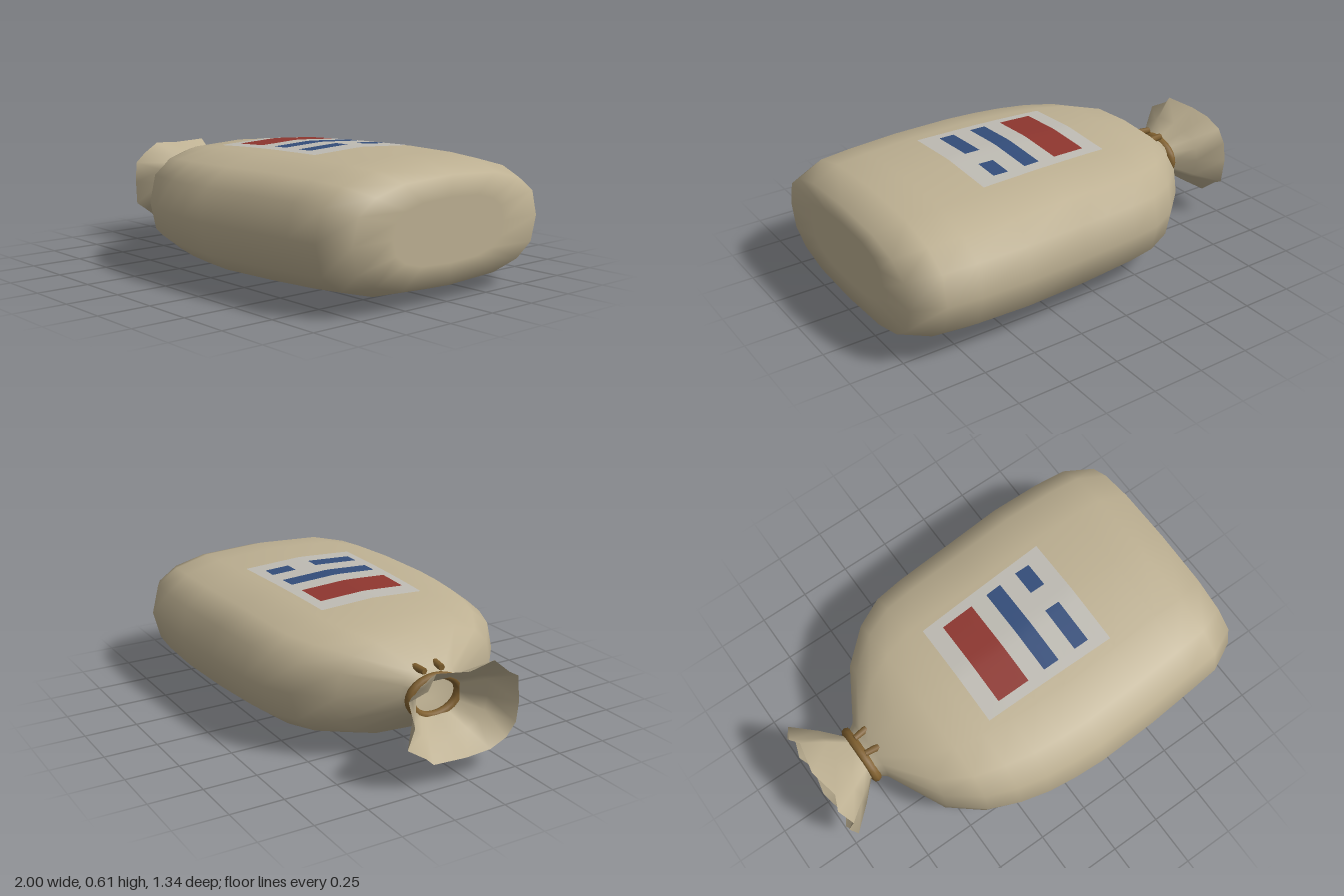
import * as THREE from 'three';

const SIDES = 16;
const mat = (name, color, side = THREE.FrontSide) => {
  const m = new THREE.MeshStandardMaterial({ color, side });
  m.name = name;
  return m;
};

// rounded-box-like power curve
const soft = (v) => Math.sign(v) * Math.pow(Math.abs(v), 0.73);

// one ring of the bag: x, bottom, top, back, front; ruffle alternates the points
function ring([x, y0, y1, z0, z1, ruffle = 0]) {
  const pts = [];
  for (let j = 0; j < SIDES; j++) {
    const a = (j / SIDES) * Math.PI * 2;
    const odd = j % 2;
    const s = 1 + ruffle * (odd ? 0.06 : -0.05);
    pts.push(new THREE.Vector3(
      x + odd * ruffle * 0.03,
      (y0 + y1) / 2 + soft(Math.sin(a)) * s * (y1 - y0) / 2,
      (z0 + z1) / 2 + soft(Math.cos(a)) * s * (z1 - z0) / 2));
  }
  return pts;
}

// smooth skin over rings ordered by rising x
function loft(rings) {
  const index = [];
  for (let i = 0; i < rings.length - 1; i++) {
    for (let j = 0; j < SIDES; j++) {
      const k = (j + 1) % SIDES;
      const a = i * SIDES + j, b = a + SIDES, c = (i + 1) * SIDES + k, d = i * SIDES + k;
      index.push(a, b, c, a, c, d);
    }
  }
  const g = new THREE.BufferGeometry().setFromPoints(rings.flat());
  g.setIndex(index);
  g.computeVertexNormals();
  return g;
}

const SECTIONS = [
  [-0.76, 0.22, 0.39, -0.13, 0.10],
  [-0.71, 0.20, 0.415, -0.16, 0.14],
  [-0.57, 0.08, 0.53, -0.40, 0.42],
  [-0.42, 0.04, 0.565, -0.54, 0.545],
  [-0.28, 0.028, 0.58, -0.61, 0.605],
  [-0.14, 0.016, 0.588, -0.63, 0.64],
  [0.0, 0.008, 0.594, -0.64, 0.657],
  [0.15, 0.0, 0.599, -0.65, 0.665],
  [0.45, 0.005, 0.603, -0.67, 0.655],
  [0.70, 0.013, 0.597, -0.665, 0.635],
  [0.86, 0.025, 0.585, -0.65, 0.62],
  [1.0, 0.07, 0.54, -0.58, 0.55],
];
const RINGS = SECTIONS.map(ring);

// height of the bag's upper skin
function topY(x, z) {
  const at = (pts) => {
    for (let j = 0; j < SIDES / 2; j++) {
      const p = pts[j], q = pts[j + 1];
      if (z <= p.z && z >= q.z) return p.y + (q.y - p.y) * (p.z - z) / (p.z - q.z);
    }
    return 0.3;
  };
  let i = 0;
  while (i < SECTIONS.length - 2 && SECTIONS[i + 1][0] < x) i++;
  const t = (x - SECTIONS[i][0]) / (SECTIONS[i + 1][0] - SECTIONS[i][0]);
  return at(RINGS[i]) * (1 - t) + at(RINGS[i + 1]) * t;
}

// thin patch lying on the upper skin: x range, z ranges at its two ends
function patch(x0, x1, [za0, za1], [zb0, zb1], lift) {
  const g = new THREE.PlaneGeometry(1, 1, 12, 12);
  g.rotateX(-Math.PI / 2);
  const p = g.attributes.position;
  for (let i = 0; i < p.count; i++) {
    const u = p.getX(i) + 0.5, v = p.getZ(i) + 0.5;
    const x = x0 + (x1 - x0) * u;
    const z = THREE.MathUtils.lerp(za0 + (zb0 - za0) * u, za1 + (zb1 - za1) * u, v);
    p.setXYZ(i, x, topY(x, z) + lift, z);
  }
  g.computeVertexNormals();
  return g;
}

export function createModel() {
  const group = new THREE.Group();
  group.name = 'tiedSack';
  const cloth = mat('cloth', 0xbdb092, THREE.DoubleSide);
  const cord = mat('cord', 0x80602f);
  const paper = mat('labelPaper', 0xbebbb3);
  const red = mat('labelRed', 0x8e362f);
  const blue = mat('labelBlue', 0x334d7a);

  const add = (name, geometry, material) => {
    const m = new THREE.Mesh(geometry, material);
    m.name = name;
    group.add(m);
    return m;
  };

  // filled bag with a flat far end
  const last = RINGS[RINGS.length - 1];
  const centre = new THREE.Vector3(1, 0.305, -0.015);
  const cap = [0.6, 0.001].map((s) => last.map((p) => p.clone().sub(centre).multiplyScalar(s).add(centre)));
  add('sackBody', loft([...RINGS, ...cap]), cloth);

  // gathered mouth beyond the tie
  add('ruffledMouth', loft([
    [-1.0, 0.10, 0.51, -0.293, 0.265, 1],
    [-0.88, 0.165, 0.445, -0.21, 0.18, 0.6],
    [-0.79, 0.22, 0.39, -0.135, 0.105, 0.2],
    [-0.75, 0.22, 0.39, -0.13, 0.10, 0],
  ].map(ring)), cloth);

  // cord round the neck
  const tie = add('neckTie', new THREE.TorusGeometry(0.128, 0.024, 8, 24).rotateY(Math.PI / 2), cord);
  tie.scale.set(1, 0.7, 1);
  tie.position.set(-0.757, 0.305, -0.015);

  // loose cord ends
  for (const [z, turn] of [[-0.068, 0.12], [0.03, -0.12]]) {
    const end = add('cordEnd', new THREE.CylinderGeometry(0.015, 0.018, 0.07, 6).rotateZ(Math.PI / 2), cord);
    end.position.set(-0.713, 0.422, z);
    end.rotation.y = turn;
  }

  // printed label
  add('label', patch(-0.22, 0.46, [-0.265, 0.268], [-0.305, 0.272], 0.005), paper);
  add('redBlock', patch(-0.135, 0.032, [-0.222, 0.22], [-0.23, 0.22], 0.009), red);
  add('blueBar', patch(0.12, 0.202, [-0.235, 0.22], [-0.24, 0.22], 0.009), blue);
  add('blueBlockBack', patch(0.293, 0.37, [-0.245, -0.12], [-0.245, -0.12], 0.009), blue);
  add('blueBlockFront', patch(0.293, 0.37, [-0.008, 0.22], [-0.008, 0.22], 0.009), blue);

  return group;
}
